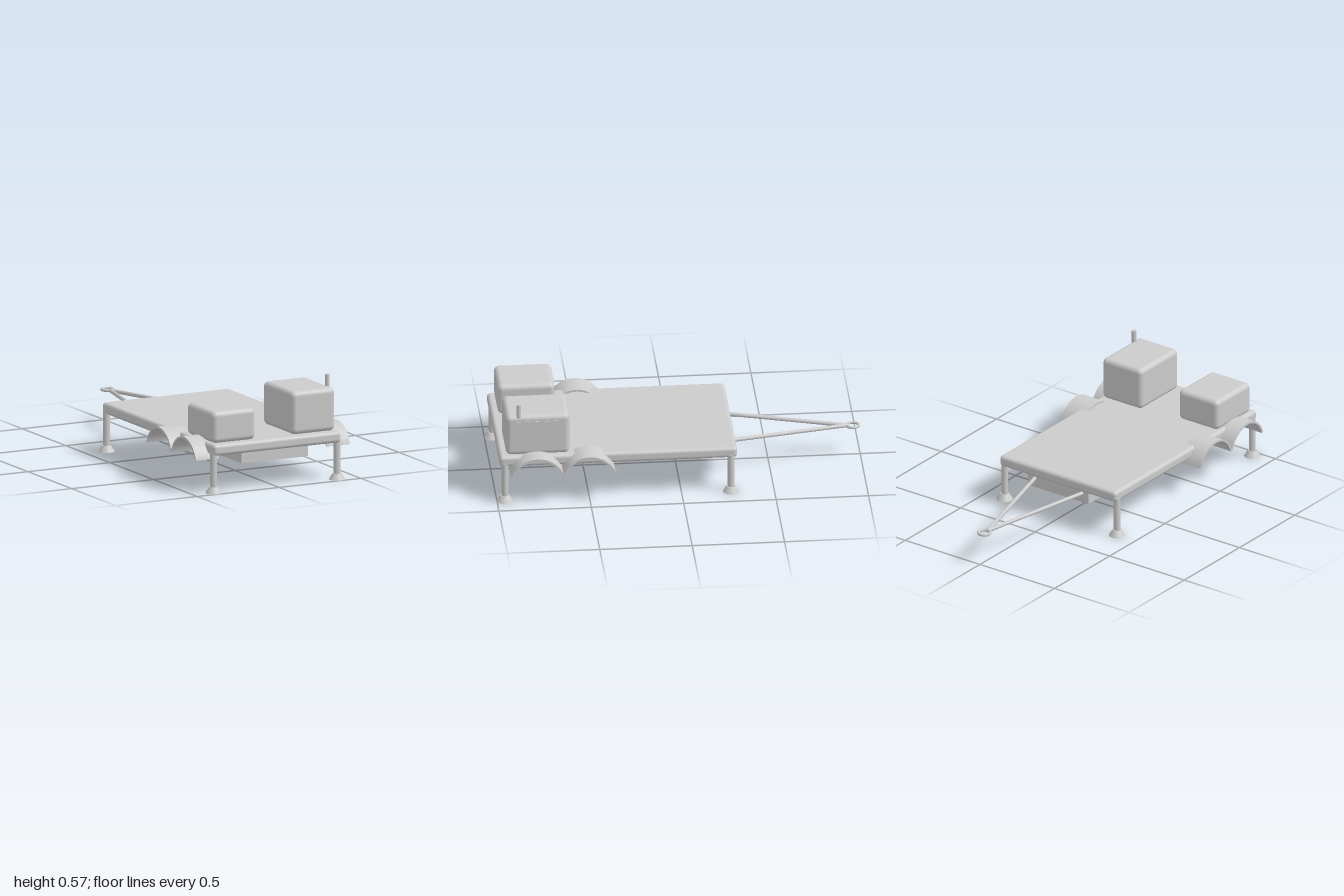
import * as THREE from 'three';
import { RoundedBoxGeometry } from 'three/addons/geometries/RoundedBoxGeometry.js';

const grey = new THREE.MeshStandardMaterial({ color: 0xcccccc });

export function createModel() {
  const model = new THREE.Group();

  const add = (name, geometry, x = 0, y = 0, z = 0) => {
    const mesh = new THREE.Mesh(geometry, grey);
    mesh.name = name;
    mesh.position.set(x, y, z);
    model.add(mesh);
    return mesh;
  };

  // Boxes given by their min and max corners
  const span = (min, max) => [max.map((v, i) => v - min[i]), max.map((v, i) => (v + min[i]) / 2)];
  const box = (name, min, max) => {
    const [size, mid] = span(min, max);
    return add(name, new THREE.BoxGeometry(...size), ...mid);
  };
  const roundedBox = (name, min, max, radius) => {
    const [size, mid] = span(min, max);
    return add(name, new RoundedBoxGeometry(...size, 4, radius), ...mid);
  };

  // Round bar between two points
  const bar = (name, a, b, radius) => {
    const from = new THREE.Vector3(...a), to = new THREE.Vector3(...b);
    const dir = to.clone().sub(from);
    const mid = from.clone().add(to).multiplyScalar(0.5);
    const mesh = add(name, new THREE.CylinderGeometry(radius, radius, dir.length(), 12), mid.x, mid.y, mid.z);
    mesh.quaternion.setFromUnitVectors(new THREE.Vector3(0, 1, 0), dir.normalize());
    return mesh;
  };

  // Flatbed and the chassis below it
  roundedBox('deck', [-0.39, 0.205, -0.3], [0.39, 0.267, 0.985], 0.02);
  box('chassis', [-0.202, 0.143, -0.29], [0.202, 0.215, 0.95]);

  // Equipment housings
  roundedBox('equipmentBox', [-0.376, 0.266, 0.64], [-0.112, 0.44, 0.95], 0.028);
  roundedBox('generator', [0.108, 0.266, 0.605], [0.374, 0.503, 0.95], 0.028);

  // Generator grille and exhaust
  for (let i = 0; i < 5; i++) {
    const z = 0.68 + i * 0.05;
    box('grilleSlat', [0.36, 0.305, z - 0.012], [0.381, 0.47, z + 0.012]);
  }
  bar('exhaust', [0.359, 0.46, 0.88], [0.359, 0.567, 0.88], 0.013);

  // Mudguard: an arched band with a small thickness, extruded across x
  const outer = 0.148, inner = 0.137, tilt = 0.28;
  const arch = new THREE.Shape();
  arch.absarc(0, 0, outer, tilt, Math.PI - tilt, false);
  arch.absarc(0, 0, inner, Math.PI - tilt, tilt, true);
  arch.closePath();
  const fender = new THREE.ExtrudeGeometry(arch, { depth: 0.14, bevelEnabled: false, curveSegments: 24 });
  fender.translate(0, 0, -0.07).rotateY(Math.PI / 2);

  for (const side of [-1, 1]) {
    for (const z of [0.787, 0.505]) add('fender', fender, side * 0.4, 0.139, z);

    // Corner support legs with flared feet
    for (const z of [0.957, -0.267]) {
      bar('leg', [side * 0.377, 0.02, z], [side * 0.377, 0.225, z], 0.0185);
      add('foot', new THREE.CylinderGeometry(0.025, 0.045, 0.033, 12), side * 0.377, 0.0165, z);
    }

    // Converging drawbar
    bar('drawbar', [side * 0.16, 0.195, -0.28], [0, 0.175, -0.93], 0.011);
  }

  // Towing eye
  add('towRing', new THREE.TorusGeometry(0.032, 0.008, 10, 28).rotateX(Math.PI / 2), 0, 0.175, -0.96);

  return model;
}
